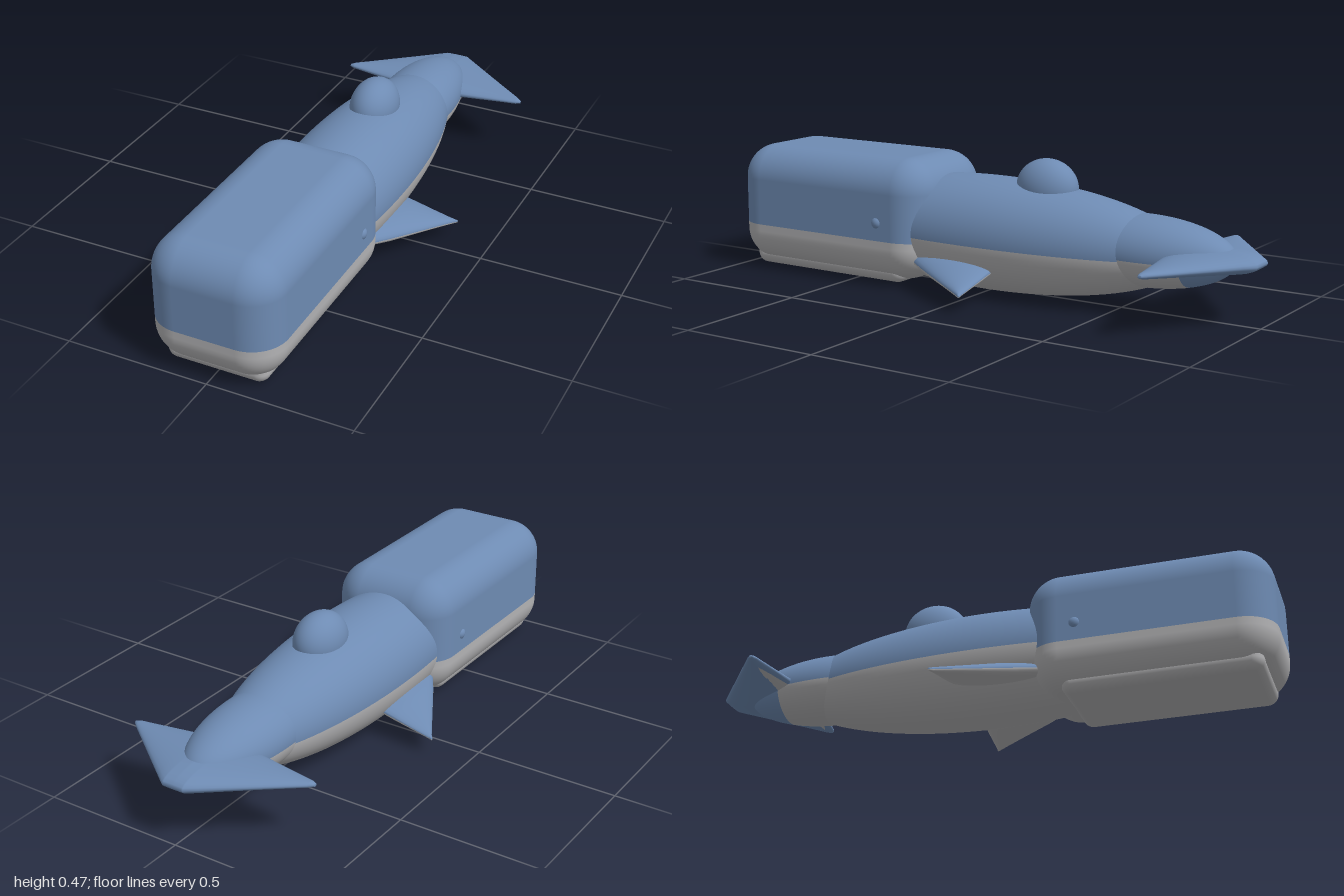
import * as THREE from 'three';
import { RoundedBoxGeometry } from 'three/addons/geometries/RoundedBoxGeometry.js';

const blue = new THREE.MeshStandardMaterial({ color: 0x6e8bb3 });
blue.name = 'blueSkin';
const pale = new THREE.MeshStandardMaterial({ color: 0xb2b2b4 });
pale.name = 'paleBelly';

// Ellipsoid with its poles along z
function ellipsoid(cx, cy, cz, sx, sy, sz, n = 48) {
  return new THREE.SphereGeometry(1, n, Math.round(n * 0.75))
    .rotateX(Math.PI / 2).scale(sx, sy, sz).translate(cx, cy, cz);
}

function roundedBox(w, y0, y1, z0, z1, r) {
  return new RoundedBoxGeometry(w, y1 - y0, z1 - z0, 8, r).translate(0, (y0 + y1) / 2, (z0 + z1) / 2);
}

// Fin with elliptical sections; stations run along +x: [x, leading z, trailing z, centre y, half thickness]
function fin(stations, steps = 8, sides = 28) {
  const rings = [];
  stations.forEach((s, i) => {
    const next = stations[i + 1];
    if (!next) return rings.push(s);
    for (let k = 0; k < steps; k++) rings.push(s.map((v, j) => v + (next[j] - v) * k / steps));
  });
  const pos = [], idx = [];
  for (const [x, lead, trail, y, h] of rings) {
    for (let k = 0; k < sides; k++) {
      const a = k / sides * Math.PI * 2;
      pos.push(x, y + h * Math.sin(a), (lead + trail) / 2 + (lead - trail) / 2 * Math.cos(a));
    }
  }
  for (let i = 0; i < rings.length - 1; i++) {
    for (let k = 0; k < sides; k++) {
      const a = i * sides + k, b = i * sides + (k + 1) % sides;
      idx.push(a, a + sides, b, b, a + sides, b + sides);
    }
  }
  const last = (rings.length - 1) * sides;
  for (let k = 1; k < sides - 1; k++) {
    idx.push(0, k, k + 1, last, last + k + 1, last + k);
  }
  const g = new THREE.BufferGeometry();
  g.setAttribute('position', new THREE.Float32BufferAttribute(pos, 3));
  g.setIndex(idx);
  g.computeVertexNormals();
  return g;
}

// Keep the part of a geometry where field(point) >= 0, cutting triangles cleanly
function clip(geometry, field) {
  const g = geometry.index ? geometry.toNonIndexed() : geometry;
  const P = g.attributes.position, N = g.attributes.normal, pos = [], nor = [];
  for (let t = 0; t < P.count; t += 3) {
    const tri = [0, 1, 2].map(k => {
      const p = new THREE.Vector3().fromBufferAttribute(P, t + k);
      return { p, n: new THREE.Vector3().fromBufferAttribute(N, t + k), f: field(p) };
    });
    const poly = [];
    tri.forEach((a, k) => {
      const b = tri[(k + 1) % 3];
      if (a.f >= 0) poly.push(a);
      if ((a.f >= 0) !== (b.f >= 0)) {
        const u = a.f / (a.f - b.f);
        poly.push({ p: a.p.clone().lerp(b.p, u), n: a.n.clone().lerp(b.n, u).normalize() });
      }
    });
    for (let k = 1; k < poly.length - 1; k++) {
      for (const v of [poly[0], poly[k], poly[k + 1]]) {
        pos.push(...v.p.toArray());
        nor.push(...v.n.toArray());
      }
    }
  }
  const out = new THREE.BufferGeometry();
  out.setAttribute('position', new THREE.Float32BufferAttribute(pos, 3));
  out.setAttribute('normal', new THREE.Float32BufferAttribute(nor, 3));
  return out;
}

export function createModel() {
  const model = new THREE.Group();
  model.name = 'whale';

  const add = (name, geometry, material, parent = model) => {
    const mesh = new THREE.Mesh(geometry, material);
    mesh.name = name;
    parent.add(mesh);
  };
  // Blue where the field is positive, pale below
  const twoTone = (name, geometry, field) => {
    const group = new THREE.Group();
    group.name = name;
    add(name + 'Upper', clip(geometry, field), blue, group);
    add(name + 'Lower', clip(geometry, p => -field(p)), pale, group);
    model.add(group);
  };

  // Block-shaped head and the slim lower jaw
  twoTone('head', roundedBox(0.45, 0.02, 0.45, 0.17, 1, 0.12), p => p.y - 0.165);
  add('jaw', roundedBox(0.355, 0.007, 0.09, 0.28, 0.95, 0.038), pale);

  // Body and tail, the tail tip being blue all round
  twoTone('body', ellipsoid(0, 0.198, 0, 0.21, 0.198, 0.74, 64), p => p.y - 0.187);
  const tailField = p => Math.max(p.y - 0.193, -0.76 - p.z);
  twoTone('tail', ellipsoid(0, 0.205, -0.58, 0.14, 0.12, 0.33, 64), tailField);

  // Hump on the back
  add('hump', ellipsoid(0, 0.375, -0.21, 0.083, 0.1, 0.113), blue);

  // Tail flukes in one piece, tip to tip
  const half = [
    [0, -0.68, -1, 0.206, 0.04],
    [0.04, -0.688, -1, 0.206, 0.037],
    [0.335, -0.738, -0.772, 0.206, 0.01],
    [0.352, -0.745, -0.757, 0.206, 0.005],
  ];
  const mirrored = s => s.map(([x, ...rest]) => [-x, ...rest]).reverse();
  twoTone('flukes', fin([...mirrored(half.slice(1)), ...half]), tailField);

  // Flippers, sloping down and swept back
  const flipper = [
    [0.14, 0.29, -0.1, 0.11, 0.036],
    [0.225, 0.155, -0.1, 0.09, 0.03],
    [0.36, -0.08, -0.1, 0.06, 0.008],
    [0.372, -0.095, -0.102, 0.058, 0.004],
  ];
  const flipperField = p => p.y - (0.142 - 0.228 * Math.abs(p.x));
  twoTone('leftFlipper', fin(flipper), flipperField);
  twoTone('rightFlipper', fin(mirrored(flipper)), flipperField);

  // Eyes
  for (const [name, side] of [['leftEye', 1], ['rightEye', -1]]) {
    add(name, ellipsoid(side * 0.208, 0.228, 0.35, 0.025, 0.025, 0.025, 24), blue);
  }
  return model;
}
